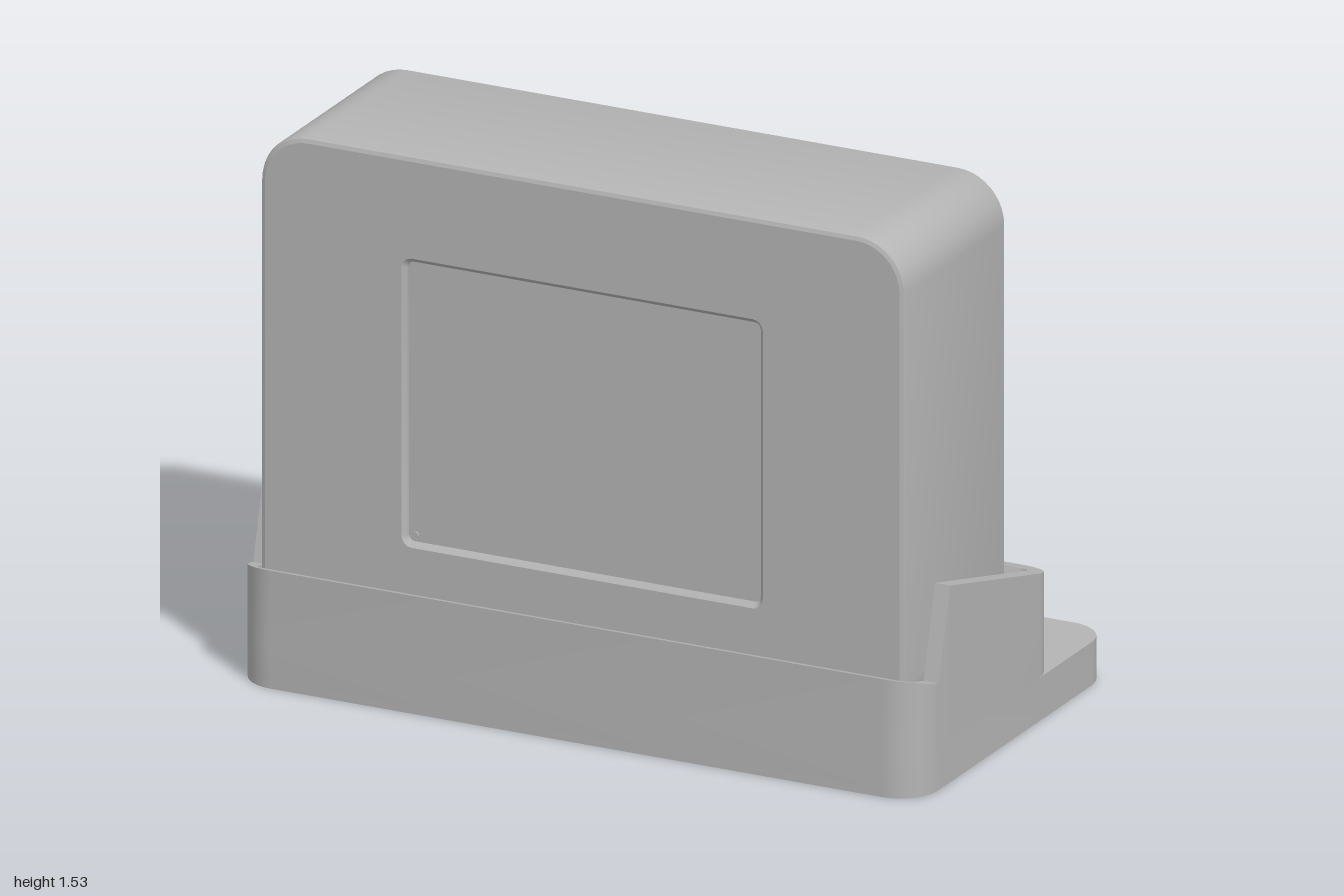
import * as THREE from 'three';
import { toCreasedNormals } from 'three/addons/utils/BufferGeometryUtils.js';

// Rounded rectangle as a counter-clockwise list of [u, v]
function outline(u0, u1, v0, v1, r, n = 10) {
  const corners = [[u1 - r, v1 - r], [u0 + r, v1 - r], [u0 + r, v0 + r], [u1 - r, v0 + r]];
  const pts = [];
  corners.forEach(([cu, cv], k) => {
    for (let i = 0; i <= n; i++) {
      const a = (k + i / n) * Math.PI / 2;
      pts.push([cu + r * Math.cos(a), cv + r * Math.sin(a)]);
    }
  });
  return pts;
}

const toVectors = (pts) => pts.map(([u, v]) => new THREE.Vector2(u, v));
function makeShape(pts, holes = []) {
  const shape = new THREE.Shape(toVectors(pts));
  holes.forEach((h) => shape.holes.push(new THREE.Path(toVectors(h))));
  return shape;
}
const slab = (pts, holes, depth) =>
  new THREE.ExtrudeGeometry(makeShape(pts, holes), { depth, bevelEnabled: false });
const circle = (u, v, r) => outline(u - r, u + r, v - r, v + r, r, 8);

// Skin joining closed loops of [x, y, z]; skip(j, i) leaves a quad open
function loft(loops, skip = () => false) {
  const n = loops[0].length;
  const index = [];
  for (let j = 0; j < loops.length - 1; j++) {
    for (let i = 0; i < n; i++) {
      if (skip(j, i)) continue;
      const a = j * n + i, b = j * n + (i + 1) % n;
      index.push(a, b, b + n, a, b + n, a + n);
    }
  }
  const geo = new THREE.BufferGeometry();
  geo.setAttribute('position', new THREE.Float32BufferAttribute(loops.flat(2), 3));
  geo.setIndex(index);
  return geo;
}

export function createModel() {
  const model = new THREE.Group();
  const grey = new THREE.MeshStandardMaterial({ color: 0xb4b4b4, side: THREE.DoubleSide });
  grey.name = 'plastic grey';
  const add = (name, geo, x = 0, y = 0, z = 0) => {
    const mesh = new THREE.Mesh(toCreasedNormals(geo, 0.5), grey);
    mesh.name = name;
    mesh.position.set(x, y, z);
    model.add(mesh);
    return mesh;
  };

  // Base plate with four shallow round recesses for feet
  const baseLine = outline(-1, 1, -0.55, 0.55, 0.11);
  const feet = [];
  for (const x of [-0.75, 0.75]) for (const z of [-0.42, 0.42]) feet.push(circle(x, z, 0.085));
  add('baseBottom', slab(baseLine, feet, 0.02).rotateX(-Math.PI / 2));
  add('basePlate', slab(baseLine, [], 0.1).rotateX(-Math.PI / 2), 0, 0.02, 0);

  // Cradle: a wall whose rim follows a stepped, sloping height along z
  const rimProfile = [[-0.25, 0.38], [0.37, 0.545], [0.435, 0.295], [0.55, 0.327]];
  const rimHeight = (z) => {
    let k = 0;
    while (k < 2 && z > rimProfile[k + 1][0] + 1e-6) k++;
    const [za, ya] = rimProfile[k], [zb, yb] = rimProfile[k + 1];
    return ya + (yb - ya) * (z - za) / (zb - za);
  };
  const cradleLine = (x, zBack, zFront, r) => {
    const p = outline(-x, x, -zFront, -zBack, r);
    return [...p.slice(0, 22), [-x, -0.37], [-x, -0.435], ...p.slice(22), [x, -0.435], [x, -0.37]];
  };
  const outer = cradleLine(1, -0.25, 0.55, 0.11);
  const inner = cradleLine(0.955, -0.18, 0.522, 0.03);
  const floorY = 0.15;
  const floorZ = (z) => 0.522 - (0.522 - z) * 0.597 / 0.702;
  add('cradle', loft([
    outer.map(([u, v]) => [u, 0.12, -v]),
    outer.map(([u, v]) => [u, rimHeight(-v), -v]),
    inner.map(([u, v]) => [u, rimHeight(-v), -v]),
    inner.map(([u, v]) => [u, floorY, floorZ(-v)]),
  ]));
  add('cradleFloor', new THREE.PlaneGeometry(1.91, 0.597).rotateX(-Math.PI / 2), 0, floorY, 0.2235);

  // Case skin with softened front and back edges; the port wall is left open
  const W = 0.94, Y0 = 0.17, Y1 = 1.53, R = 0.14, BACK = -0.07, FRONT = 0.515, F = 0.015;
  const caseLine = (d) => outline(-W + d, W - d, Y0 + d, Y1 - d, R - d);
  const caseLoop = (d, z) => caseLine(d).map(([x, y]) => [x, y, z]);
  const portWall = 21;
  add('caseShell', loft([
    caseLoop(F, BACK), caseLoop(F * 0.3, BACK + F * 0.3), caseLoop(0, BACK + F),
    caseLoop(0, FRONT - F), caseLoop(F * 0.3, FRONT - F * 0.3), caseLoop(F, FRONT),
  ], (j, i) => j === 2 && i === portWall));
  add('caseLining', loft([caseLoop(0.05, 0.48), caseLoop(0.05, -0.03)], (j, i) => i === portWall));

  // Front panel, sunken screen and its bevelled frame
  const screenLine = (d) => outline(-0.527 + d, 0.527 - d, 0.445 + d, 1.247 - d, 0.03 - d, 4);
  add('frontPanel', new THREE.ShapeGeometry(makeShape(caseLine(F), [screenLine(0)])), 0, 0, FRONT);
  add('screenFrame', loft([[0, FRONT], [0.012, 0.503], [0.012, 0.495]].map(([d, z]) =>
    screenLine(d).map(([x, y]) => [x, y, z]))));
  add('screen', slab(screenLine(0.005), [], 0.015), 0, 0, 0.48);
  add('screenDot', new THREE.CylinderGeometry(0.01, 0.01, 0.006, 16).rotateX(Math.PI / 2), -0.495, 0.475, 0.497);
  add('frontLining', new THREE.ShapeGeometry(makeShape(caseLine(0.04))), 0, 0, 0.479);

  // Back panel with screw holes, a lens hole and a vent
  const screws = [[-0.83, 1.43], [0.83, 1.43]];
  const ventX = 0.65, ventY = 0.73, ventW = 0.16, ventH = 0.245;
  const vent = outline(ventX - ventW, ventX + ventW, ventY - ventH, ventY + ventH, 0.14);
  add('backPanel', slab(caseLine(F),
    [...screws.map(([x, y]) => circle(x, y, 0.052)), circle(0.134, 1.4, 0.062), vent], 0.04), 0, 0, BACK);
  for (let i = 0; i < 4; i++) {
    const y = ventY + (i - 1.5) * 0.105;
    add('ventSlat', new THREE.BoxGeometry(0.32, 0.022, 0.03), ventX, y, BACK + 0.02);
  }
  for (const [x, y] of screws) {
    add('screwTube', new THREE.CylinderGeometry(0.052, 0.052, 0.3, 32, 1, true).rotateX(Math.PI / 2), x, y, 0.1);
    add('screwSeat', new THREE.CircleGeometry(0.052, 32).rotateY(Math.PI), x, y, 0.2);
  }

  // Port wall on the right side: two ports and a pinhole
  const portZ = 0.23;
  const port = (y, w, h, r) => outline(portZ - w, portZ + w, y - h, y + h, r, 6);
  const sideways = (geo) => geo.rotateY(-Math.PI / 2);
  add('portPanel', sideways(slab(
    [[BACK + F, Y0 + R], [FRONT - F, Y0 + R], [FRONT - F, Y1 - R], [BACK + F, Y1 - R]],
    [port(1.08, 0.06, 0.115, 0.035), port(0.68, 0.06, 0.14, 0.035), circle(portZ + 0.02, 0.93, 0.012)],
    0.05)), -W + 0.05, 0, 0);
  for (const [y, h] of [[1.08, 0.115], [0.68, 0.14]]) {
    add('portInsert', sideways(slab(port(y, 0.075, h + 0.015, 0.04),
      [port(y, 0.035, h - 0.03, 0.025)], 0.03)), -W + 0.055, 0, 0);
    add('portSocket', new THREE.BoxGeometry(0.02, h * 2, 0.11), -W + 0.08, y, portZ);
  }
  return model;
}
